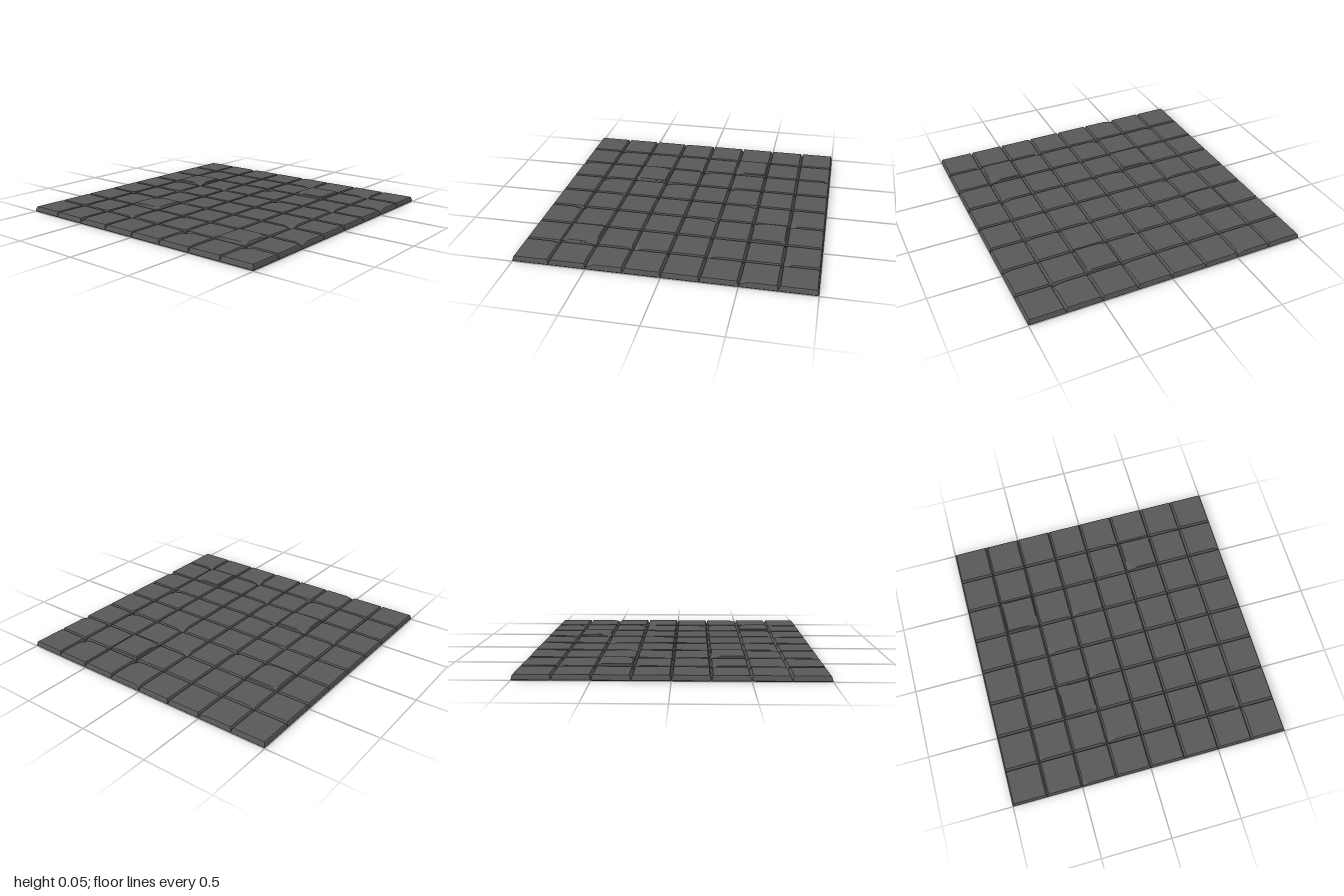
import * as THREE from 'three';
import { ConvexGeometry } from 'three/addons/geometries/ConvexGeometry.js';

const COUNT = 8, PITCH = 2 / COUNT;

// Corners of a tile seen from above: back left, back right, front right, front left
const CORNERS = { A: [-1, -1], B: [1, -1], C: [1, 1], D: [-1, 1] };

// Chipped corners per tile, keyed "column,row": corner letter and chip size
const CHIPS = {
  '1,0': { B: 0.04 }, '4,0': { C: 0.06, A: 0.02 }, '6,0': { C: 0.065 },
  '1,1': { A: 0.03 }, '5,1': { D: 0.065, B: 0.02 }, '7,1': { C: 0.05 },
  '1,2': { C: 0.065, A: 0.02 }, '2,2': { C: 0.035 }, '3,2': { D: 0.06 },
  '4,2': { A: 0.06 }, '6,2': { C: 0.05 },
  '1,3': { A: 0.025 }, '2,3': { D: 0.06 }, '5,3': { A: 0.065 },
  '1,4': { B: 0.04 }, '3,4': { D: 0.06 }, '6,4': { C: 0.065 },
  '1,5': { A: 0.035 }, '2,5': { A: 0.06, C: 0.025 }, '6,5': { B: 0.035 }, '7,5': { C: 0.05 },
  '1,6': { D: 0.04 }, '2,6': { C: 0.035 }, '3,6': { D: 0.06 }, '4,6': { A: 0.045 },
  '5,6': { D: 0.025 }, '6,6': { B: 0.065, C: 0.03 },
  '2,7': { D: 0.05 }, '5,7': { A: 0.065 }, '7,7': { A: 0.045 },
};

// Tiles that stand proud of the floor
const RAISED = new Set(['5,1', '1,2', '2,5', '6,6']);

// One bevelled tile as the hull of its corner points, with chipped corners cut back
function tileGeometry(top, chips, raised) {
  const pts = [];
  const add = (x, y, z) => pts.push(new THREE.Vector3(x, y, z));
  const rim = top - 0.006;
  for (const [key, [sx, sz]] of Object.entries(CORNERS)) {
    const ring = (half, y, cut = 0) => {
      if (!cut) return add(sx * half, y, sz * half);
      add(sx * (half - cut), y, sz * half);
      add(sx * half, y, sz * (half - cut));
    };
    const chip = chips[key] || 0;
    const tilt = raised && sz < 0 ? -0.002 : 0;
    ring(0.121, 0);
    ring(0.125, 0.005);
    ring(0.118, rim + tilt, chip);
    ring(raised ? 0.111 : 0.114, top + tilt, chip);
    // Broken corner slopes down to this point
    if (chip) ring(0.1205, rim - chip * 0.22);
  }
  return new ConvexGeometry(pts);
}

export function createModel() {
  const floor = new THREE.Group();
  floor.name = 'tiledFloor';
  const stone = new THREE.MeshStandardMaterial({ color: 0x585858 });
  stone.name = 'dark grey stone';

  for (let row = 0; row < COUNT; row++) {
    for (let col = 0; col < COUNT; col++) {
      const key = `${col},${row}`;
      const raised = RAISED.has(key);
      const top = raised ? 0.05 : 0.037;
      const tile = new THREE.Mesh(tileGeometry(top, CHIPS[key] || {}, raised), stone);
      tile.name = raised ? 'raisedTile' : 'tile';
      tile.position.set((col + 0.5) * PITCH - 1, 0, (row + 0.5) * PITCH - 1);
      floor.add(tile);
    }
  }
  return floor;
}
